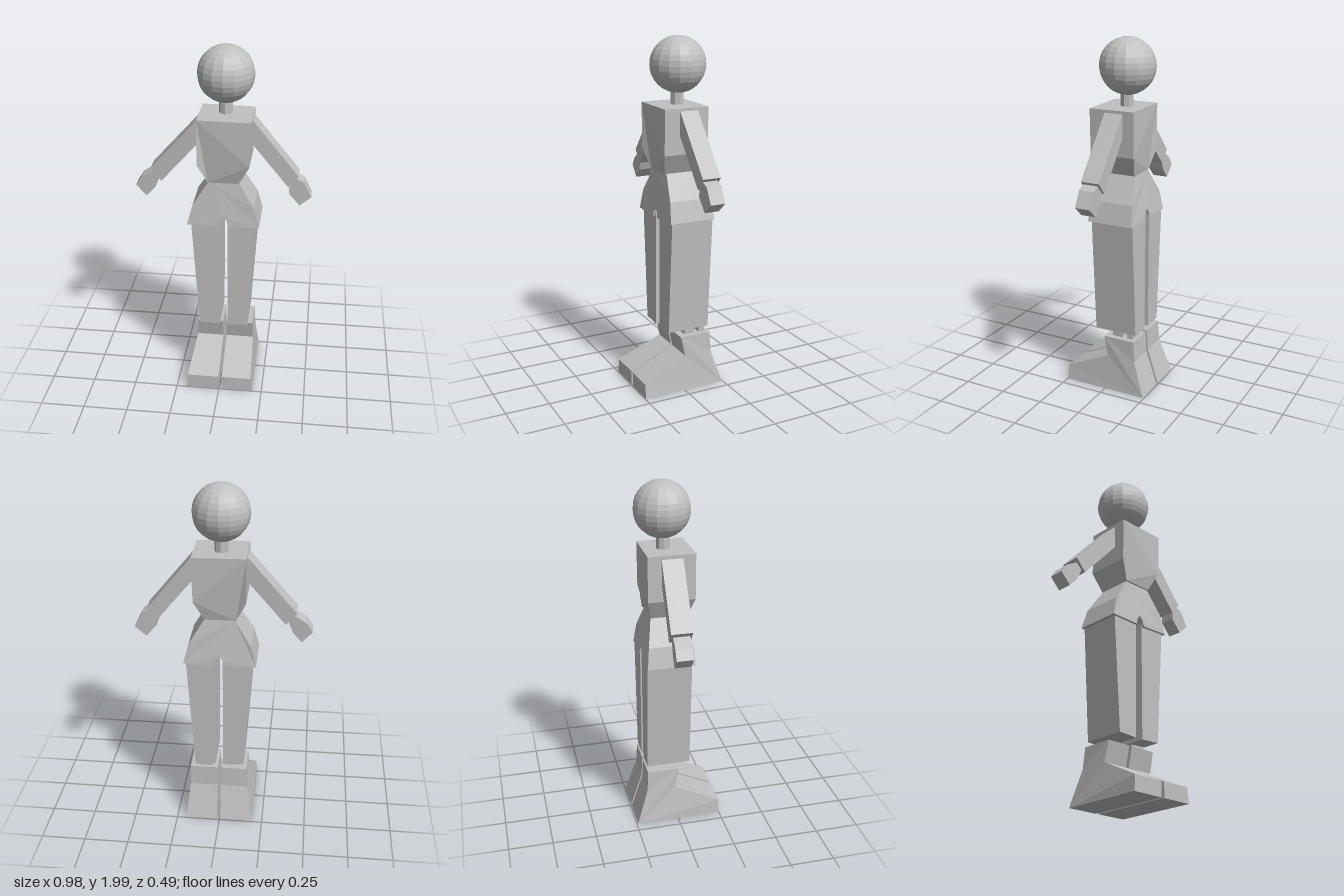
import * as THREE from 'three';

const grey = new THREE.MeshStandardMaterial({ color: 0xc0c0c0, flatShading: true });
grey.name = 'plain grey';

// Extrude an outline from a to b along z
function slab(points, a, b) {
  const shape = new THREE.Shape(points.map(([x, y]) => new THREE.Vector2(x, y)));
  const geo = new THREE.ExtrudeGeometry(shape, { depth: b - a, bevelEnabled: false });
  return geo.translate(0, 0, a);
}

// Move every vertex by a rule
function reshape(geo, rule) {
  const p = geo.attributes.position;
  const v = new THREE.Vector3();
  for (let i = 0; i < p.count; i++) {
    rule(v.fromBufferAttribute(p, i));
    p.setXYZ(i, v.x, v.y, v.z);
  }
  geo.computeVertexNormals();
  return geo;
}

// Piecewise linear lookup in [key, value] pairs with rising keys
function lerpTable(table, k) {
  for (let i = 1; i < table.length; i++) {
    const [k0, v0] = table[i - 1], [k1, v1] = table[i];
    if (k <= k1) return v0 + (v1 - v0) * Math.max(0, (k - k0) / (k1 - k0));
  }
  return table[table.length - 1][1];
}

// Front and back depth of a slab follow its height
const depthByHeight = (geo, front, back, mid = -0.04) =>
  reshape(geo, (v) => { v.z = lerpTable(v.z > mid ? front : back, v.y); });

export function createModel() {
  const model = new THREE.Group();
  model.name = 'figure';
  const add = (name, geo) => {
    const mesh = new THREE.Mesh(geo, grey);
    mesh.name = name;
    model.add(mesh);
    return mesh;
  };

  // Head and neck
  add('head', new THREE.SphereGeometry(0.154, 16, 16)).position.set(0.006, 1.846, -0.046);
  add('neck', new THREE.CylinderGeometry(0.037, 0.037, 0.14, 8)).position.set(0.006, 1.67, -0.042);

  // Torso, narrowing to the waist
  add('torso', depthByHeight(
    slab([[-0.08, 1.268], [0.09, 1.268], [0.148, 1.38], [0.155, 1.63], [-0.135, 1.635], [-0.135, 1.38]], -0.15, 0.1),
    [[1.268, 0.075], [1.38, 0.105], [1.635, 0.105]],
    [[1.268, -0.13], [1.38, -0.155], [1.635, -0.155]]));

  // Hips with an arch between the legs
  add('hips', depthByHeight(
    slab([[-0.075, 1.27], [-0.165, 1.13], [-0.195, 1.015], [-0.02, 1.01], [-0.012, 1.045], [0.008, 1.07],
      [0.027, 1.045], [0.035, 1.01], [0.205, 1.015], [0.175, 1.13], [0.09, 1.27]], -0.15, 0.1),
    [[1.01, 0.095], [1.13, 0.085], [1.27, 0.065]],
    [[1.01, -0.173], [1.13, -0.16], [1.27, -0.13]]));

  // Trouser legs
  add('leftLeg', slab([[0.03, 0.355], [0.147, 0.36], [0.19, 1.03], [0.03, 1.03]], -0.17, 0.08));
  add('rightLeg', slab([[-0.132, 0.362], [-0.015, 0.355], [-0.013, 1.03], [-0.175, 1.03]], -0.17, 0.08));

  // Ankle of the left leg: two short posts
  for (const [z, depth] of [[-0.055, 0.06], [-0.132, 0.036]]) {
    add('ankle', new THREE.BoxGeometry(0.09, 0.06, depth)).position.set(0.096, 0.343, z);
  }

  // Boots: side profile extruded across, outer side following the height
  const profile = [[0.247, 0.01], [0.247, 0.095], [-0.01, 0.215], [0.015, 0.33], [-0.17, 0.33], [-0.177, 0.21], [-0.243, 0.01]];
  const boots = [
    ['leftBoot', 0.016, [[0.01, 0.196], [0.095, 0.185], [0.215, 0.176], [0.33, 0.173]]],
    ['rightBoot', -0.003, [[0.01, -0.19], [0.095, -0.185], [0.215, -0.157], [0.33, -0.15]]],
  ];
  for (const [name, inner, outer] of boots) {
    const side = Math.sign(outer[0][1]);
    const geo = slab(profile.map(([z, y]) => [-z, y]), -0.1, 0.1).rotateY(Math.PI / 2);
    add(name, reshape(geo, (v) => { v.x = v.x * side > 0 ? lerpTable(outer, v.y) : inner; }));
  }

  // Arms with sleeves and mitten hands
  add('leftArm', slab([[0.15, 1.485], [0.355, 1.235], [0.41, 1.3], [0.15, 1.62]], -0.09, 0.016));
  add('leftHand', slab([[0.36, 1.25], [0.36, 1.195], [0.42, 1.125], [0.483, 1.18], [0.44, 1.265], [0.395, 1.285]], -0.075, 0.01));

  // The right arm swings slightly backwards
  const swing = (geo) => reshape(geo, (v) => { v.z += 0.055 * (v.x + 0.135); });
  add('rightArm', swing(slab([[-0.13, 1.62], [-0.405, 1.31], [-0.345, 1.24], [-0.13, 1.485]], -0.08, 0.036)));
  add('rightHand', swing(slab([[-0.395, 1.29], [-0.46, 1.25], [-0.493, 1.2], [-0.435, 1.135], [-0.385, 1.19], [-0.36, 1.255]], -0.068, 0.022)));

  return model;
}
